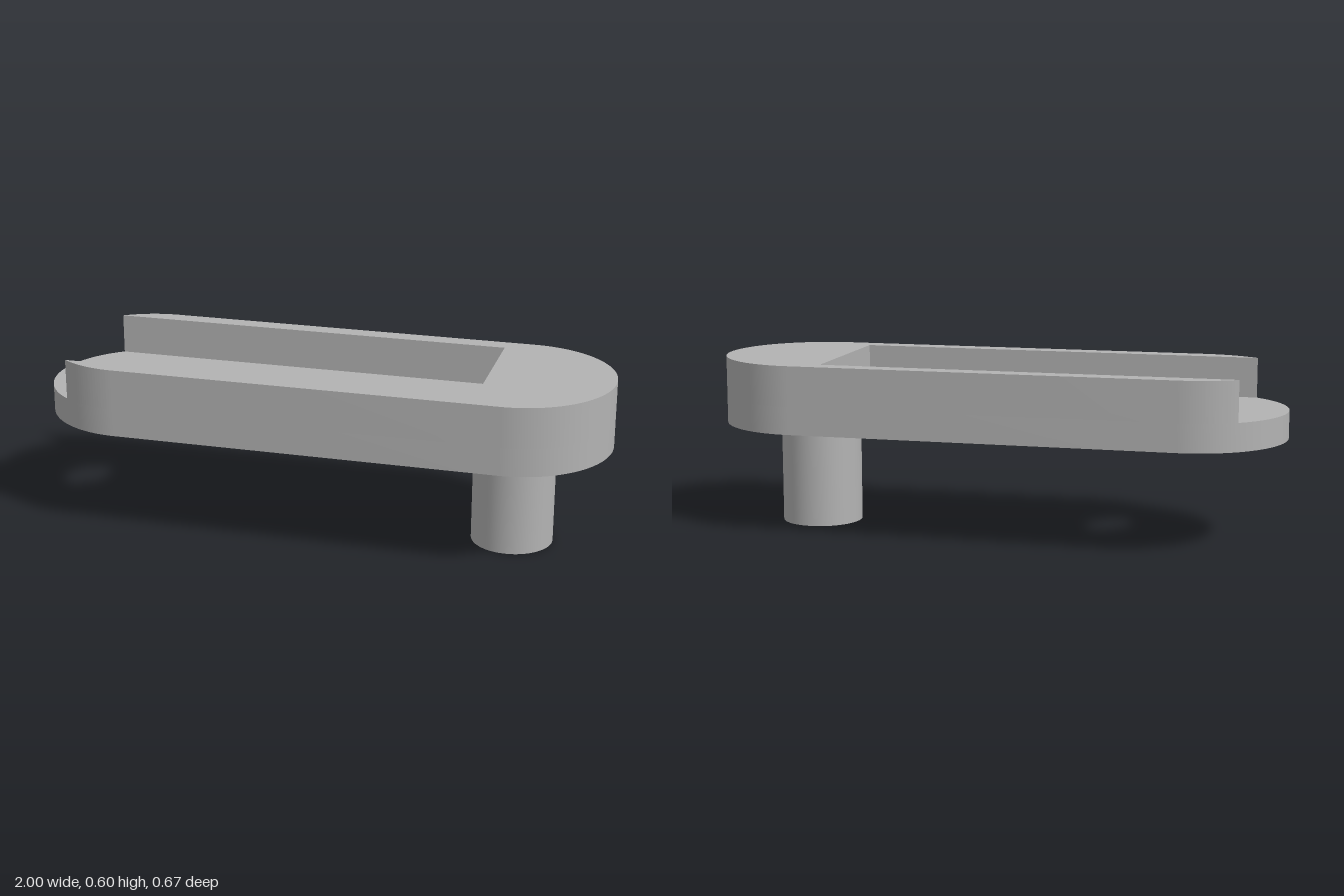
import * as THREE from 'three';
import { toCreasedNormals } from 'three/addons/utils/BufferGeometryUtils.js';

const R = 0.333;          // end radius
const C = 0.667;          // distance of each end centre from the middle
const BOTTOM = 0.362, FLOOR = 0.459, TOP = 0.6;
const POCKET_Z = 0.27, POCKET_END = 0.572;

// Extrudes a plan shape upward from y0 to y1 with smooth round ends
function slab(shape, y0, y1) {
  const geometry = new THREE.ExtrudeGeometry(shape, {
    depth: y1 - y0, bevelEnabled: false, curveSegments: 40,
  });
  geometry.rotateX(-Math.PI / 2);
  geometry.translate(0, y0, 0);
  return toCreasedNormals(geometry, 0.6);
}

export function createModel() {
  const group = new THREE.Group();
  const grey = new THREE.MeshStandardMaterial({ color: 0xb3b3b3 });
  grey.name = 'grey';

  const add = (name, geometry) => {
    const mesh = new THREE.Mesh(geometry, grey);
    mesh.name = name;
    group.add(mesh);
    return mesh;
  };

  // Round-ended base plate with a through hole
  const plate = new THREE.Shape();
  plate.absarc(C, 0, R, -Math.PI / 2, Math.PI / 2, false);
  plate.absarc(-C, 0, R, Math.PI / 2, Math.PI * 1.5, false);
  plate.closePath();
  const hole = new THREE.Path();
  hole.absarc(-C, 0, 0.116, 0, Math.PI * 2, true);
  plate.holes.push(hole);
  add('basePlate', slab(plate, BOTTOM, FLOOR));

  // Raised wall around the pocket, open at the hole end
  const a = Math.asin(POCKET_Z / R);
  const wall = new THREE.Shape();
  wall.absarc(-C, 0, R, Math.PI + a, Math.PI * 1.5, false);
  wall.absarc(C, 0, R, -Math.PI / 2, Math.PI / 2, false);
  wall.absarc(-C, 0, R, Math.PI / 2, Math.PI - a, false);
  wall.lineTo(POCKET_END, POCKET_Z);
  wall.lineTo(POCKET_END, -POCKET_Z);
  wall.closePath();
  add('pocketWall', slab(wall, FLOOR, TOP));

  // Peg under the solid end
  const peg = add('peg', new THREE.CylinderGeometry(0.142, 0.142, BOTTOM, 64));
  peg.position.set(C, BOTTOM / 2, 0);

  return group;
}
